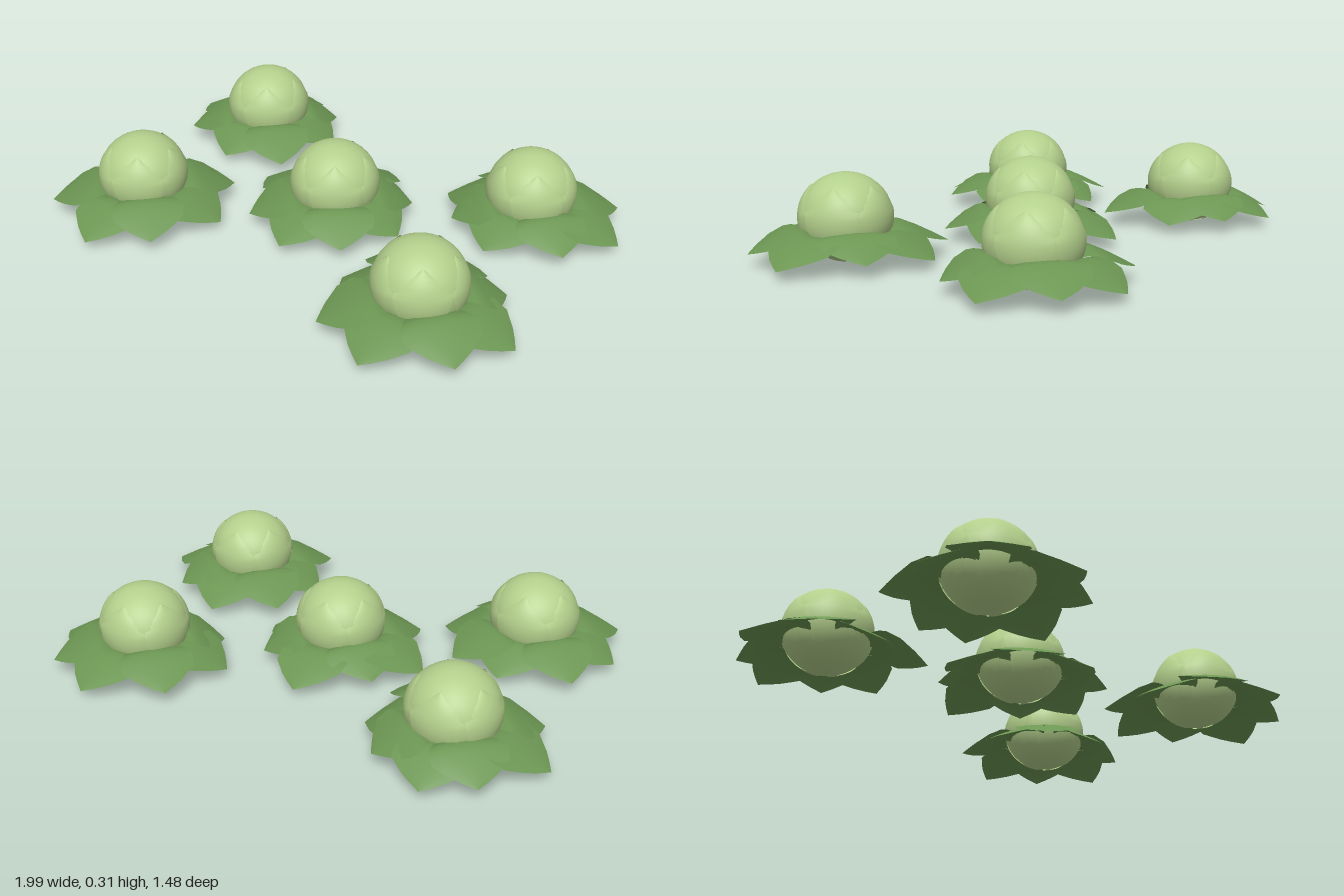
import * as THREE from 'three';

const headGreen = new THREE.MeshStandardMaterial({ color: 0xb4d08c, side: THREE.DoubleSide });
headGreen.name = 'pale head green';
const leafGreen = new THREE.MeshStandardMaterial({ color: 0x6c9653, side: THREE.DoubleSide });
leafGreen.name = 'outer leaf green';

const HEAD_Y = 0.159, RX = 0.165, RY = 0.156;

// Smooth sheet: point(u, v) with u across (-1..1) and v along (0..1)
function sheet(nu, nv, point) {
  const pos = [], idx = [];
  for (let j = 0; j <= nv; j++) {
    for (let i = 0; i <= nu; i++) pos.push(...point((i / nu) * 2 - 1, j / nv));
  }
  for (let j = 0; j < nv; j++) {
    for (let i = 0; i < nu; i++) {
      const a = j * (nu + 1) + i, b = a + nu + 1;
      idx.push(a, b, a + 1, a + 1, b, b + 1);
    }
  }
  const g = new THREE.BufferGeometry();
  g.setAttribute('position', new THREE.Float32BufferAttribute(pos, 3));
  g.setIndex(idx);
  g.computeVertexNormals();
  return g;
}

// Linear lookup in [position, value] pairs
function lookup(table, t) {
  for (let i = 1; i < table.length; i++) {
    const [t0, a] = table[i - 1], [t1, b] = table[i];
    if (t <= t1) return a + ((b - a) * (t - t0)) / (t1 - t0);
  }
  return table[table.length - 1][1];
}

// Broad outer leaf: root inside the head, arching out and drooping to a point
const leafWidth = [[0, 0.05], [0.2, 0.105], [0.4, 0.135], [0.6, 0.128], [0.8, 0.075], [0.9, 0.04], [1, 0]];
const leafHeight = [[0, 0.085], [0.2, 0.112], [0.3, 0.116], [0.4, 0.112], [0.6, 0.09], [0.8, 0.064], [1, 0.035]];
function outerLeaf(length, lift) {
  return sheet(6, 10, (u, v) => [
    u * lookup(leafWidth, v),
    lookup(leafHeight, v) + lift - 0.014 * u * u * Math.sin(Math.PI * v),
    0.1 + (length - 0.1) * v,
  ]);
}

// Leaf wrapped close round the head, its pointed tip just standing clear
const wrapWidth = [[-80, 14], [-60, 24], [-20, 28], [0, 33], [13, 37], [25, 30], [38, 17], [48, 0]];
const wrapLeaf = sheet(10, 20, (u, v) => {
  const deg = -80 + 128 * v;
  const lat = THREE.MathUtils.degToRad(deg);
  const lon = -u * THREE.MathUtils.degToRad(lookup(wrapWidth, deg));
  const tuck = deg > 13 && deg < 42 ? 0.035 * u * u : 0;
  const f = 1.022 - tuck;
  return [
    RX * f * Math.cos(lat) * Math.sin(lon),
    RY * f * Math.sin(lat),
    RX * f * Math.cos(lat) * Math.cos(lon),
  ];
});

const headBall = new THREE.SphereGeometry(1, 32, 20);

// Each plant: centre, then leaf tips (x, z) relative to it
const plants = [
  { at: [-0.63, -0.39], tips: [[-0.03, -0.33], [0.19, -0.23], [0.305, -0.05], [0.265, 0.25], [0.016, 0.305], [-0.257, 0.2], [-0.363, -0.03], [-0.2, -0.25]] },
  { at: [0.63, -0.39], tips: [[0.035, -0.353], [0.25, -0.24], [0.363, -0.01], [0.245, 0.2], [-0.015, 0.31], [-0.22, 0.2], [-0.342, 0.027], [-0.256, -0.24]] },
  { at: [0, -0.01], tips: [[0, -0.363], [0.23, -0.187], [0.31, 0.03], [0.21, 0.25], [0, 0.342], [-0.22, 0.246], [-0.363, -0.037], [-0.235, -0.2]] },
  { at: [-0.63, 0.37], tips: [[0.016, -0.32], [0.21, -0.283], [0.347, -0.04], [0.25, 0.235], [0.043, 0.363], [-0.267, 0.23], [-0.33, -0.02], [-0.245, -0.25]] },
  { at: [0.63, 0.37], tips: [[-0.027, -0.358], [0.2, -0.24], [0.369, 0], [0.272, 0.214], [0.005, 0.363], [-0.23, 0.27], [-0.326, -0.01], [-0.27, -0.25]] },
];

function add(parent, geometry, material, name) {
  const mesh = new THREE.Mesh(geometry, material);
  mesh.name = name;
  parent.add(mesh);
  return mesh;
}

function cabbage({ at, tips }) {
  const plant = new THREE.Group();
  plant.name = 'cabbage';
  plant.position.set(at[0], 0, at[1]);

  // Round head
  const head = add(plant, headBall, headGreen, 'head');
  head.scale.set(RX, RY, RX);
  head.position.y = HEAD_Y;

  // Five wrapping leaves, the first at the back
  for (let i = 0; i < 5; i++) {
    const wrap = add(plant, wrapLeaf, headGreen, 'wrappingLeaf');
    wrap.position.y = HEAD_Y;
    wrap.rotation.y = Math.PI + (i * Math.PI * 2) / 5;
  }

  // Eight outer leaves, alternating lower and upper
  tips.forEach(([x, z], i) => {
    const leaf = add(plant, outerLeaf(Math.hypot(x, z), i % 2 ? 0.014 : 0), leafGreen, 'outerLeaf');
    leaf.rotation.y = Math.atan2(x, z);
  });
  return plant;
}

export function createModel() {
  const patch = new THREE.Group();
  patch.name = 'cabbagePatch';
  plants.forEach((p) => patch.add(cabbage(p)));
  return patch;
}
